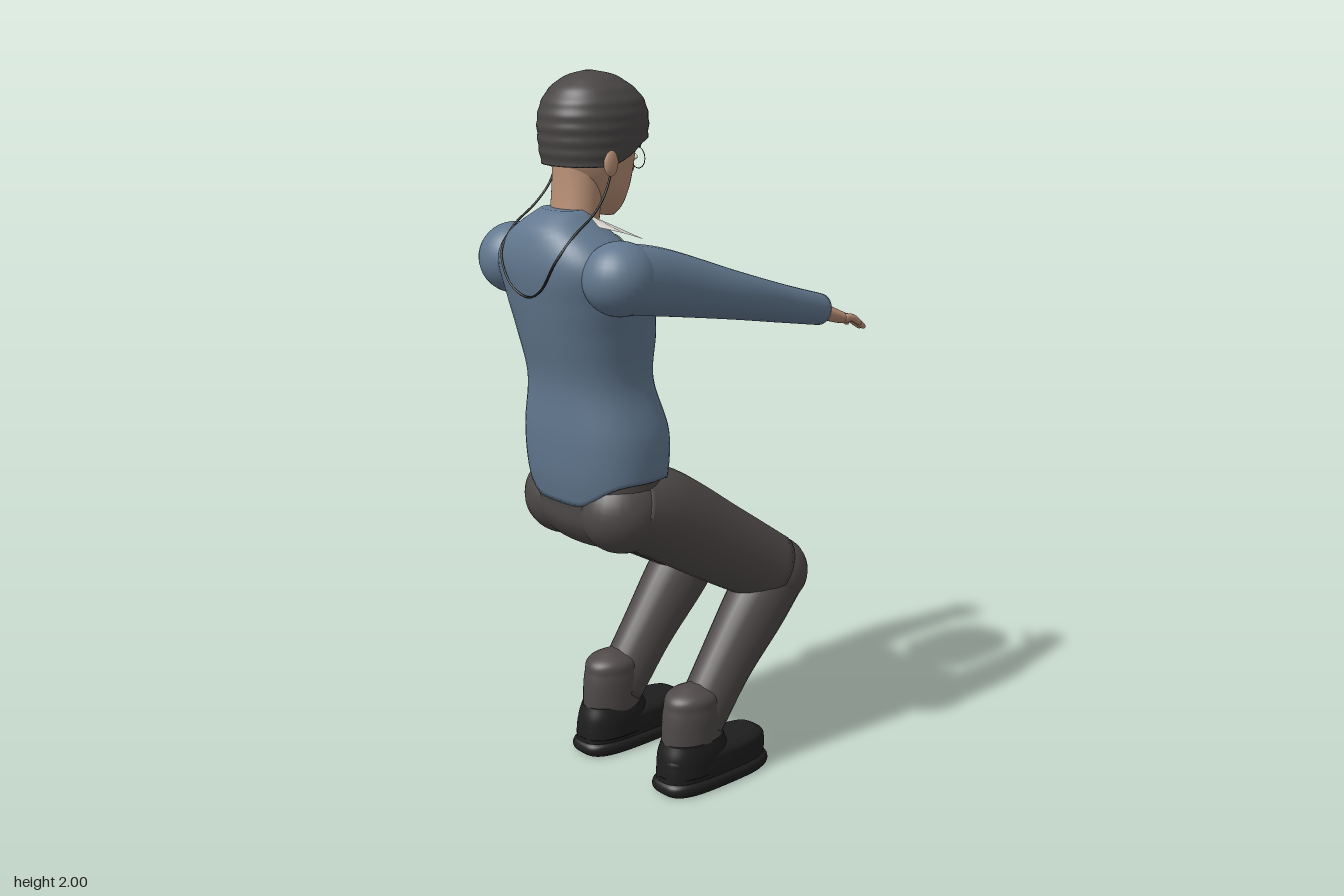
import * as THREE from 'three';

const mat = (name, color, side = THREE.FrontSide) => new THREE.MeshStandardMaterial({ name, color, side });
const M = {
  jacket: mat('jacket blue', 0x62788f),
  trousers: mat('trouser grey', 0x4e4948),
  hair: mat('hair grey', 0x4a4646),
  skin: mat('skin', 0xb88f75),
  shirt: mat('shirt white', 0xdedbd4, THREE.DoubleSide),
  shoe: mat('shoe black', 0x1e1e1e),
  lips: mat('lips', 0x8f5a4e),
};

// Smooth interpolation through rows of [key, ...values]
function spline(rows) {
  const n = rows[0].length - 1;
  const it = new THREE.CubicInterpolant(
    new Float32Array(rows.map(r => r[0])), new Float32Array(rows.flatMap(r => r.slice(1))), n, new Float32Array(n));
  return k => Array.from(it.evaluate(k));
}

// Grid of points; closed grids wrap around and get end caps
function surface(nj, ni, point, closed = true) {
  const pos = [], idx = [], cols = closed ? ni : ni + 1;
  for (let j = 0; j <= nj; j++) for (let i = 0; i < cols; i++) pos.push(...point(j / nj, i / ni));
  for (let j = 0; j < nj; j++) for (let i = 0; i < ni; i++) {
    const k = closed ? (i + 1) % ni : i + 1;
    const a = j * cols + i, b = j * cols + k, c = a + cols, d = b + cols;
    idx.push(a, b, d, a, d, c);
  }
  if (closed) for (const j of [0, nj]) {
    const centre = [0, 0, 0], id = pos.length / 3;
    for (let i = 0; i < ni; i++) for (let c = 0; c < 3; c++) centre[c] += pos[(j * ni + i) * 3 + c] / ni;
    pos.push(...centre);
    for (let i = 0; i < ni; i++) {
      const a = j * ni + i, b = j * ni + (i + 1) % ni;
      idx.push(...(j ? [a, b, id] : [b, a, id]));
    }
  }
  const g = new THREE.BufferGeometry();
  g.setAttribute('position', new THREE.Float32BufferAttribute(pos, 3));
  g.setIndex(idx);
  g.computeVertexNormals();
  return g;
}

const pw = (v, e) => Math.sign(v) * Math.abs(v) ** e;

// Upright loft; rows are [y, halfWidth, zFront, zBack], hem gives the lower edge
function loft(rows, { n = 2, x = 0, hem = null, ripple = 0, steps = 40 } = {}) {
  const at = spline(rows), top = rows[rows.length - 1][0];
  return surface(steps, 48, (v, u) => {
    const t = u * Math.PI * 2, c = Math.cos(t), s = Math.sin(t);
    const y0 = hem ? hem(c, s) : rows[0][0], y = y0 + v * (top - y0);
    const [a, zf, zb] = at(y), r = 1 + ripple * Math.sin(y * 190);
    return [x + r * a * pw(c, 2 / n), y, (zf + zb) / 2 - r * (zb - zf) / 2 * pw(s, 2 / n)];
  });
}

// Limb along a path; rows are [x, y, z, sideRadius, otherRadius]
function limb(rows, steps = 24, sides = 24) {
  const at = spline(rows.map((r, i) => [i, ...r])), end = rows.length - 1;
  return surface(steps, sides, (v, u) => {
    const k = v * end, [x, y, z, rs, ru] = at(k);
    const p0 = at(Math.max(0, k - 0.02)), p1 = at(Math.min(end, k + 0.02));
    const T = new THREE.Vector3(p1[0] - p0[0], p1[1] - p0[1], p1[2] - p0[2]).normalize();
    const S = new THREE.Vector3(1, 0, 0).addScaledVector(T, -T.x).normalize();
    const U = T.clone().cross(S), a = u * Math.PI * 2;
    return new THREE.Vector3(x, y, z).addScaledVector(S, rs * Math.cos(a)).addScaledVector(U, ru * Math.sin(a)).toArray();
  });
}

const torsoRows = [
  [0.86, 0.2, 0.17, 0.445], [0.94, 0.214, 0.152, 0.462], [1.05, 0.214, 0.145, 0.472], [1.2, 0.18, 0.183, 0.475],
  [1.33, 0.195, 0.178, 0.505], [1.42, 0.213, 0.198, 0.525], [1.52, 0.22, 0.25, 0.54],
  [1.58, 0.17, 0.295, 0.53], [1.62, 0.11, 0.33, 0.51], [1.655, 0.065, 0.36, 0.46]];
const TORSO_N = 2.3;

// Thin panel lying on the chest between two heights
function chestPanel(y0, y1, width, lift) {
  const at = spline(torsoRows);
  return surface(16, 16, (v, u) => {
    const y = y0 + v * (y1 - y0), [a, zf, zb] = at(y);
    const x = width * v * (1 - 2 * u), k = Math.min(1, Math.abs(x / a));
    return [x, y, (zf + zb) / 2 - (zb - zf) / 2 * (1 - k ** TORSO_N) ** (1 / TORSO_N) - lift];
  }, false);
}

export function createModel() {
  const g = new THREE.Group();
  g.name = 'crouchingPerson';
  const add = (name, geo, m) => {
    const mesh = new THREE.Mesh(geo, m);
    mesh.name = name;
    g.add(mesh);
    return mesh;
  };
  const ball = (name, m, p, s) => {
    const b = add(name, new THREE.SphereGeometry(1, 28, 20), m);
    b.position.set(...p);
    b.scale.set(...s);
  };

  // Jacket and pelvis
  add('jacketBody', loft(torsoRows, {
    n: TORSO_N, steps: 56, hem: c => 0.87 + 0.07 * THREE.MathUtils.smoothstep(Math.abs(c), 0.3, 1) }), M.jacket);
  add('pelvis', loft([[0.72, 0.06, 0.25, 0.33], [0.745, 0.14, 0.21, 0.385], [0.8, 0.19, 0.18, 0.435],
    [0.87, 0.203, 0.172, 0.447], [0.95, 0.206, 0.165, 0.452]], { n: 2.2 }), M.trousers);

  // Shirt front and bare throat
  add('shirtFront', chestPanel(1.34, 1.585, 0.13, 0.005), M.shirt);
  add('throat', chestPanel(1.52, 1.625, 0.075, 0.009), M.skin);

  // Neck and head
  add('neck', loft([[1.5, 0.078, 0.33, 0.46], [1.62, 0.073, 0.315, 0.435], [1.7, 0.073, 0.305, 0.425],
    [1.8, 0.075, 0.29, 0.42]]), M.skin);
  add('head', loft([[1.625, 0.025, 0.25, 0.285], [1.645, 0.05, 0.233, 0.32], [1.69, 0.082, 0.217, 0.37],
    [1.74, 0.1, 0.205, 0.41], [1.8, 0.111, 0.196, 0.435], [1.86, 0.113, 0.185, 0.44], [1.93, 0.09, 0.21, 0.41]]), M.skin);
  add('hair', loft([[1.76, 0.12, 0.172, 0.445], [1.82, 0.125, 0.162, 0.455], [1.89, 0.125, 0.16, 0.455],
    [1.935, 0.112, 0.18, 0.437], [1.97, 0.083, 0.222, 0.405], [1.99, 0.05, 0.262, 0.366], [2, 0.008, 0.31, 0.33]],
  { n: 2.2, ripple: 0.007, steps: 72, hem: (c, s) => 1.765 + 0.06 * THREE.MathUtils.smoothstep(s, -0.3, 0.7) }), M.hair);
  add('nose', limb([[0, 1.8, 0.2, 0.008, 0.008], [0, 1.765, 0.193, 0.012, 0.012], [0, 1.74, 0.19, 0.018, 0.015],
    [0, 1.725, 0.205, 0.01, 0.006]]), M.skin);
  ball('upperLip', M.lips, [0, 1.691, 0.219], [0.028, 0.006, 0.009]);
  ball('lowerLip', M.lips, [0, 1.681, 0.222], [0.024, 0.006, 0.009]);

  for (const s of [1, -1]) {
    const side = s > 0 ? 'left' : 'right';
    const limbS = (rows, ...r) => limb(rows.map(([x, ...q]) => [x * s, ...q]), ...r);

    // Face details
    ball(side + 'Ear', M.skin, [s * 0.115, 1.775, 0.345], [0.012, 0.035, 0.022]);
    ball(side + 'Eye', M.shirt, [s * 0.042, 1.775, 0.209], [0.018, 0.009, 0.006]);
    ball(side + 'Pupil', M.shoe, [s * 0.042, 1.775, 0.204], [0.007, 0.008, 0.004]);
    ball(side + 'Eyebrow', M.hair, [s * 0.044, 1.803, 0.203], [0.024, 0.005, 0.006]);
    const rim = add(side + 'SpectacleRim', new THREE.TorusGeometry(0.028, 0.0012, 6, 28), M.shoe);
    rim.position.set(s * 0.04, 1.77, 0.19);

    // Shirt collar wing
    const wing = new THREE.BufferGeometry();
    wing.setAttribute('position', new THREE.Float32BufferAttribute([
      0.075, 1.645, 0.39, 0.13, 1.618, 0.4, 0.193, 1.607, 0.368, 0.15, 1.575, 0.265, 0.07, 1.6, 0.3]
      .map((v, i) => i % 3 ? v : v * s), 3));
    wing.setIndex([0, 1, 2, 0, 2, 3, 0, 3, 4]);
    wing.computeVertexNormals();
    add(side + 'CollarWing', wing, M.shirt);

    // Sleeve
    ball(side + 'Shoulder', M.jacket, [s * 0.217, 1.498, 0.405], [0.096, 0.096, 0.1]);
    add(side + 'Sleeve', limbS([[0.22, 1.5, 0.42, 0.09, 0.093], [0.226, 1.475, 0.28, 0.078, 0.088],
      [0.23, 1.41, 0.03, 0.07, 0.066], [0.212, 1.355, -0.18, 0.056, 0.053], [0.2, 1.315, -0.342, 0.046, 0.045]], 36), M.jacket);

    // Hand: palm, fingers and thumb
    add(side + 'Palm', limbS([[0.198, 1.32, -0.32, 0.034, 0.024], [0.195, 1.302, -0.37, 0.04, 0.022],
      [0.191, 1.28, -0.43, 0.044, 0.018], [0.19, 1.272, -0.456, 0.036, 0.012]]), M.skin);
    const fingers = [[0.226, 0.232, -0.485], [0.204, 0.203, -0.532], [0.181, 0.177, -0.544], [0.159, 0.146, -0.525]];
    for (const [x0, x1, z] of fingers) {
      const y = 1.28 + (z + 0.44) * 0.45, zm = (z - 0.42) / 2;
      add(side + 'Finger', limbS([[x0, 1.285, -0.42, 0.011, 0.011], [(x0 + x1) / 2, 1.284 + (zm + 0.44) * 0.35, zm, 0.01, 0.01],
        [x1, y + 0.003, z + 0.008, 0.008, 0.008], [x1, y, z, 0.003, 0.003]], 12, 12), M.skin);
    }
    add(side + 'Thumb', limbS([[0.172, 1.3, -0.36, 0.018, 0.016], [0.135, 1.278, -0.395, 0.013, 0.013],
      [0.108, 1.262, -0.43, 0.011, 0.011], [0.091, 1.252, -0.452, 0.005, 0.005]], 12, 12), M.skin);

    // Trouser leg
    ball(side + 'Hip', M.trousers, [s * 0.118, 0.845, 0.315], [0.112, 0.117, 0.128]);
    add(side + 'Thigh', limbS([[0.118, 0.85, 0.31, 0.112, 0.115], [0.126, 0.815, 0.2, 0.115, 0.126],
      [0.148, 0.69, 0, 0.105, 0.116], [0.168, 0.572, -0.19, 0.096, 0.103]]), M.trousers);
    ball(side + 'Knee', M.trousers, [s * 0.17, 0.56, -0.205], [0.096, 0.102, 0.103]);
    add(side + 'Shin', limbS([[0.17, 0.55, -0.2, 0.092, 0.098], [0.17, 0.46, -0.125, 0.085, 0.1],
      [0.17, 0.32, -0.01, 0.073, 0.085], [0.172, 0.17, 0.1, 0.068, 0.08]]), M.trousers);
    add(side + 'TrouserCuff', loft([[0.1, 0.066, 0.02, 0.213], [0.17, 0.07, 0.018, 0.215], [0.24, 0.069, 0.025, 0.207],
      [0.28, 0.058, 0.05, 0.19], [0.3, 0.02, 0.09, 0.145]], { x: s * 0.174 }), M.trousers);

    // Shoe
    add(side + 'Sole', loft([[0, 0.076, -0.135, 0.23], [0.008, 0.081, -0.143, 0.238], [0.03, 0.081, -0.143, 0.238],
      [0.038, 0.074, -0.137, 0.23]], { n: 3.2, x: s * 0.178 }), M.shoe);
    add(side + 'ShoeUpper', loft([[0.03, 0.073, -0.135, 0.232], [0.08, 0.073, -0.138, 0.23], [0.105, 0.067, -0.13, 0.224],
      [0.117, 0.05, -0.11, 0.21]], { n: 3, x: s * 0.178 }), M.shoe);
    add(side + 'ShoeHeel', loft([[0.05, 0.074, 0.0, 0.232], [0.11, 0.073, 0.008, 0.226], [0.145, 0.066, 0.02, 0.214]],
      { n: 2.4, x: s * 0.176 }), M.shoe);
  }

  // Spectacle bridge and the cord hanging over the back
  const tube = (pts, r) => new THREE.TubeGeometry(new THREE.CatmullRomCurve3(pts.map(p => new THREE.Vector3(...p))), 80, r, 6);
  add('spectacleBridge', tube([[-0.012, 1.772, 0.19], [0, 1.777, 0.18], [0.012, 1.772, 0.19]], 0.0012), M.shoe);
  const half = [[0.112, 1.8, 0.33], [0.115, 1.71, 0.36], [0.122, 1.655, 0.405], [0.124, 1.6, 0.48],
    [0.112, 1.54, 0.528], [0.065, 1.465, 0.538]];
  const mirrored = half.map(([x, y, z]) => [-x, y, z]).reverse();
  add('spectacleCord', tube([...half, [0, 1.437, 0.534], ...mirrored], 0.003), M.shoe);

  return g;
}
